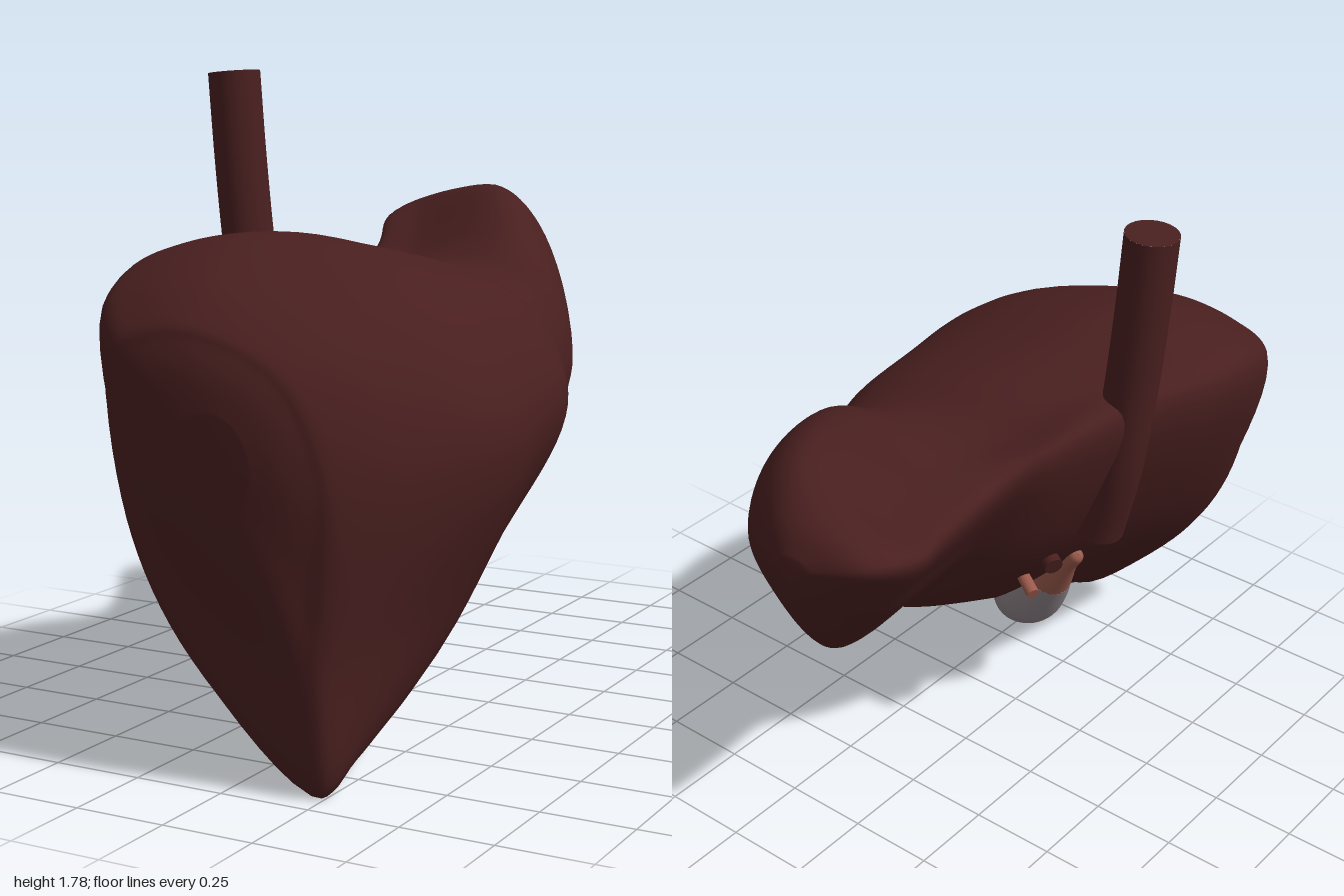
import * as THREE from 'three';

const liverRed = new THREE.MeshStandardMaterial({ color: 0x491f1f });
liverRed.name = 'liverRed';
const ductPink = new THREE.MeshStandardMaterial({ color: 0x9a5a4c });
ductPink.name = 'ductPink';
const bladderGrey = new THREE.MeshStandardMaterial({ color: 0x8c8287 });
bladderGrey.name = 'bladderGrey';

// Cross-sections from front to back: z, left x y, top x y, right x y, bottom x y
const SECTIONS = [
  [1.0, -0.12, 0.87, 0, 0.93, 0.09, 0.8, 0.04, 0.68],
  [0.985, -0.21, 0.97, -0.06, 1.03, 0.17, 0.8, 0.12, 0.52],
  [0.96, -0.3, 1.04, -0.08, 1.1, 0.24, 0.79, 0.18, 0.31],
  [0.93, -0.365, 1.09, -0.09, 1.15, 0.3, 0.79, 0.235, 0.005],
  [0.8, -0.475, 1.16, -0.11, 1.24, 0.41, 0.82, 0.25, 0.045],
  [0.6, -0.535, 1.22, -0.12, 1.315, 0.51, 0.86, 0.255, 0.135],
  [0.4, -0.525, 1.24, -0.08, 1.33, 0.535, 0.86, 0.24, 0.225],
  [0.2, -0.46, 1.25, -0.03, 1.295, 0.51, 0.87, 0.2, 0.325],
  [0, -0.42, 1.25, 0.04, 1.25, 0.48, 0.88, 0.18, 0.425],
  [-0.12, -0.39, 1.225, 0.08, 1.215, 0.43, 0.89, 0.18, 0.485],
  [-0.22, -0.35, 1.195, 0.14, 1.21, 0.365, 0.91, 0.18, 0.54],
  [-0.35, -0.35, 1.18, 0.14, 1.275, 0.345, 0.92, 0.09, 0.58],
  [-0.6, -0.43, 1.24, 0, 1.38, 0.21, 1.03, -0.03, 0.71],
  [-0.8, -0.51, 1.3, -0.12, 1.415, 0.06, 1.13, -0.16, 0.9],
  [-0.94, -0.47, 1.32, -0.22, 1.375, -0.115, 1.22, -0.24, 1.1],
  [-1.0, -0.33, 1.29, -0.28, 1.31, -0.24, 1.28, -0.28, 1.24],
];

// Smooth interpolation between neighbouring rows of numbers
function sample(rows, t) {
  const last = rows.length - 1;
  const i = Math.min(Math.floor(t), last - 1);
  const f = t - i;
  const [a, b, c, d] = [i - 1, i, i + 1, i + 2].map((k) => rows[Math.max(0, Math.min(last, k))]);
  return b.map((v, k) => THREE.MathUtils.clamp(
    v + 0.5 * f * (c[k] - a[k] + f * (2 * a[k] - 5 * v + 4 * c[k] - d[k] + f * (3 * (v - c[k]) + d[k] - a[k]))),
    -1, 2));
}

// Rounded three-cornered outline: domed top and outer face, gently swollen underside.
// Towards the small lobe the top gains a shallow valley and the underside flattens.
function outline([z, lx, ly, tx, ty, rx, ry, bx, by], count) {
  const { smoothstep } = THREE.MathUtils;
  const lobe = smoothstep(-z, 0.1, 0.4) * (1 - smoothstep(-z, 0.75, 0.95));
  const swell = 0.12 - 0.06 * smoothstep(-z, 0, 0.4) + 0.08 * smoothstep(z, 0.9, 1);
  const p = (x, y) => new THREE.Vector3(x, y, z);
  const under = (f) => p(
    bx + (lx - bx) * f - (ly - by) * swell,
    by + (ly - by) * f + (lx - bx) * swell);
  const curve = new THREE.CatmullRomCurve3([
    p(lx, ly),
    p(lx + 0.32 * (tx - lx), ly + (0.8 - 0.5 * lobe) * (ty - ly)),
    p(tx, ty),
    p(tx + 0.68 * (rx - tx), ry + 0.68 * (ty - ry)),
    p(rx, ry),
    p(bx + 0.66 * (rx - bx), by + 0.44 * (ry - by)),
    p(bx, by),
    under(0.34),
    under(0.66),
  ], true, 'centripetal');
  return Array.from({ length: count }, (_, j) => curve.getPoint(j / count));
}

function liverGeometry() {
  const around = 72, steps = (SECTIONS.length - 1) * 6;
  const points = [], index = [];
  for (let i = 0; i <= steps; i++) points.push(...outline(sample(SECTIONS, i / 6), around));
  const front = points.length, back = front + 1, end = steps * around;
  const centre = (start) => points.slice(start, start + around)
    .reduce((s, v) => s.add(v), new THREE.Vector3()).divideScalar(around);
  points.push(centre(0), centre(end));
  for (let j = 0; j < around; j++) {
    const k = (j + 1) % around;
    for (let i = 0; i < steps; i++) {
      const a = i * around, b = a + around;
      index.push(a + j, a + k, b + j, a + k, b + k, b + j);
    }
    index.push(front, k, j, back, end + j, end + k);
  }
  const g = new THREE.BufferGeometry().setFromPoints(points);
  g.setIndex(index);
  g.computeVertexNormals();
  return g;
}

// Round vessel along a path, with flat closed ends
function vessel(name, path, radius, material) {
  const group = new THREE.Group();
  group.name = name;
  const curve = new THREE.CatmullRomCurve3(path.map((p) => new THREE.Vector3(...p)));
  const wall = new THREE.Mesh(new THREE.TubeGeometry(curve, 24, radius, 24), material);
  wall.name = name + 'Wall';
  group.add(wall);
  for (const t of [0, 1]) {
    const cap = new THREE.Mesh(new THREE.CircleGeometry(radius, 24), material);
    cap.name = name + 'End';
    cap.position.copy(curve.getPoint(t));
    const dir = curve.getTangent(t).multiplyScalar(t ? 1 : -1);
    cap.quaternion.setFromUnitVectors(new THREE.Vector3(0, 0, 1), dir);
    group.add(cap);
  }
  return group;
}

// Pear-shaped sac lying against the underside
function gallbladder() {
  const group = new THREE.Group();
  group.name = 'gallbladder';
  const neck = new THREE.Vector3(-0.25, 0.67, 0.21), tip = new THREE.Vector3(0.12, 0.245, 0.39);
  const length = neck.distanceTo(tip);
  const profile = new THREE.SplineCurve([
    [0.001, 0], [0.022, 0.03], [0.03, 0.15], [0.06, 0.35], [0.098, 0.6],
    [0.108, 0.75], [0.085, 0.9], [0.045, 0.975], [0.001, 1],
  ].map(([r, h]) => new THREE.Vector2(r, h * length))).getPoints(40);
  const split = 16, half = 1.35;
  const piece = (name, pts, from, sweep, material) => {
    const m = new THREE.Mesh(new THREE.LatheGeometry(pts, 24, from, sweep), material);
    m.name = name;
    group.add(m);
  };
  piece('gallbladderNeck', profile.slice(0, split + 1), 0, Math.PI * 2, ductPink);
  piece('gallbladderUnderside', profile.slice(split), -half, half * 2, bladderGrey);
  piece('gallbladderUpperSide', profile.slice(split), half, Math.PI * 2 - half * 2, ductPink);
  const axis = tip.clone().sub(neck).normalize();
  const side = axis.clone().cross(new THREE.Vector3(-0.25, -0.9, -0.35)).normalize();
  const out = side.clone().cross(axis);
  group.quaternion.setFromRotationMatrix(new THREE.Matrix4().makeBasis(side, axis, out));
  group.position.copy(neck);
  return group;
}

export function createModel() {
  const model = new THREE.Group();
  model.name = 'liverModel';

  const liver = new THREE.Mesh(liverGeometry(), liverRed);
  liver.name = 'liverLobes';
  model.add(liver);

  // Large vein standing above the liver and running down its back
  model.add(vessel('mainVein',
    [[-0.463, 1.762, 0.183], [-0.445, 1.53, 0.183], [-0.422, 1.3, 0.183], [-0.39, 1.05, 0.18], [-0.33, 0.81, 0.19]],
    0.073, liverRed));

  // Short vessel stubs near the neck of the gallbladder
  model.add(vessel('portalStub', [[-0.1, 0.73, 0.17], [-0.18, 0.71, 0.13], [-0.25, 0.69, 0.09]], 0.027, liverRed));
  model.add(vessel('ductStub', [[-0.08, 0.62, 0.13], [-0.14, 0.595, 0.1], [-0.19, 0.575, 0.075]], 0.019, ductPink));

  model.add(gallbladder());
  return model;
}
